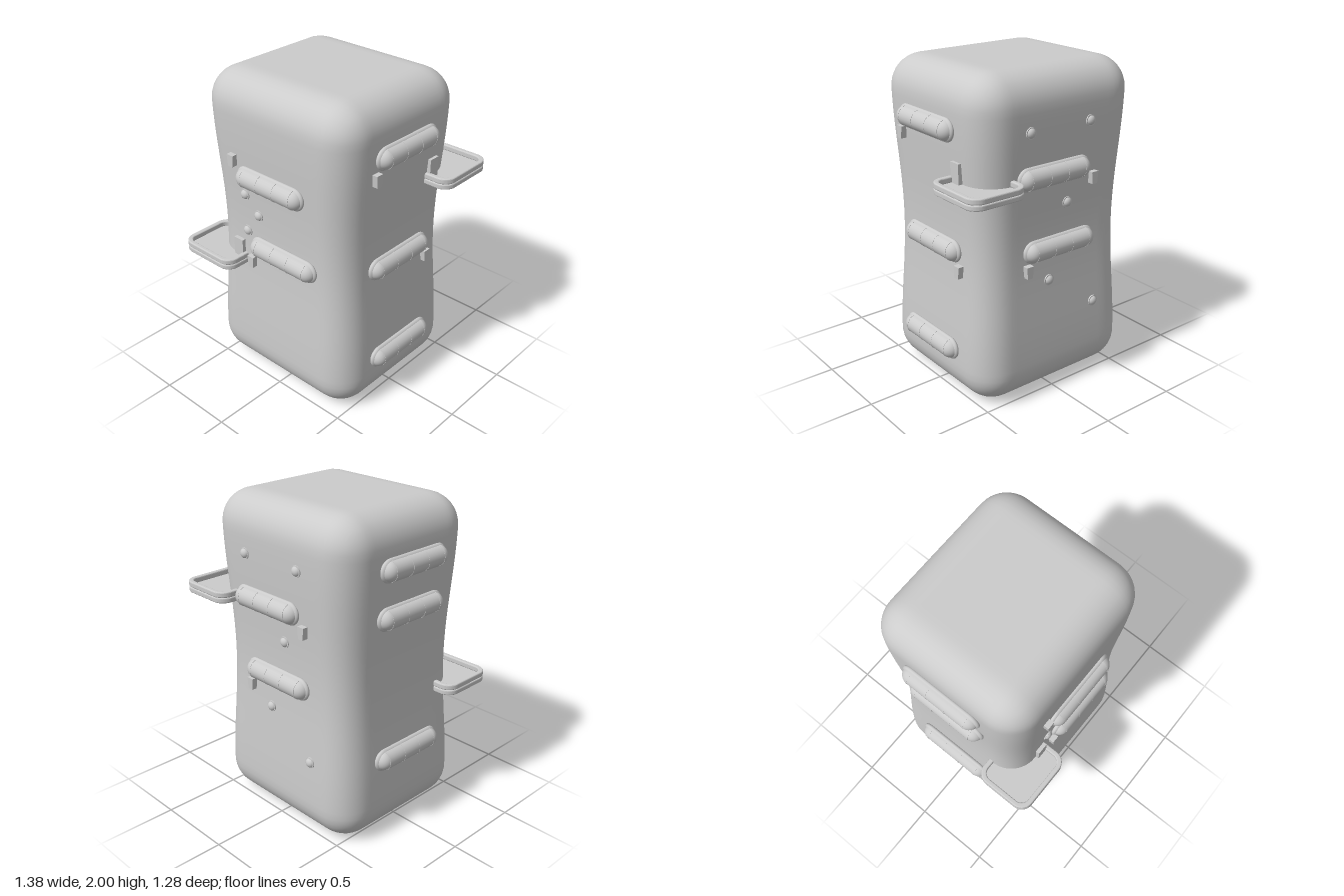
import * as THREE from 'three';
import { mergeVertices } from 'three/addons/utils/BufferGeometryUtils.js';

const material = new THREE.MeshStandardMaterial({ color: 0xcccccc });
const CENTER = new THREE.Vector3(-0.027, 1, -0.018);
const HALF = new THREE.Vector3(0.573, 1, 0.517);
const RADIUS = 0.2;

// Width factor at height y: full at the ends, pinched at the middle
function waist(y) {
  const t = Math.min(1, Math.abs(y - 1) / 0.85);
  return 1 - 0.065 * Math.cos(t * Math.PI / 2) ** 2;
}

function mesh(geometry, name, parent) {
  const m = new THREE.Mesh(geometry, material);
  m.name = name;
  parent.add(m);
  return m;
}

// Rounded block with a pinched waist
function bodyGeometry() {
  let g = new THREE.BoxGeometry(HALF.x * 2, 2, HALF.z * 2, 28, 44, 28);
  g.deleteAttribute('uv');
  g.deleteAttribute('normal');
  g = mergeVertices(g);
  const inner = HALF.clone().subScalar(RADIUS);
  const pos = g.attributes.position;
  const p = new THREE.Vector3(), core = new THREE.Vector3();
  for (let i = 0; i < pos.count; i++) {
    p.fromBufferAttribute(pos, i);
    core.copy(p).clamp(inner.clone().negate(), inner);
    p.sub(core).setLength(RADIUS).add(core);
    const w = waist(p.y + 1);
    pos.setXYZ(i, p.x * w + CENTER.x, p.y + 1, p.z * w + CENTER.z);
  }
  g.computeVertexNormals();
  return g;
}

// Puts a part on a face of the body; u runs along x (front, back) or z (sides)
function place(part, face, u, y, lift = 0) {
  const w = waist(y);
  const x = HALF.x * w + lift, z = HALF.z * w + lift;
  if (face === 'front') part.position.set(u, y, CENTER.z + z);
  if (face === 'back') part.position.set(u, y, CENTER.z - z);
  if (face === 'left') part.position.set(CENTER.x + x, y, u);
  if (face === 'right') part.position.set(CENTER.x - x, y, u);
  part.rotation.y = { front: 0, back: Math.PI, left: Math.PI / 2, right: -Math.PI / 2 }[face];
  return part;
}

// Capsule hold with a wider foot and thin bands
function makeHold() {
  const hold = new THREE.Group();
  hold.name = 'longHold';
  mesh(new THREE.CapsuleGeometry(0.061, 0.39, 8, 24).rotateZ(Math.PI / 2), 'holdBar', hold);
  mesh(new THREE.CapsuleGeometry(0.07, 0.39, 8, 24).rotateZ(Math.PI / 2).scale(1, 1, 0.4), 'holdFoot', hold);
  for (const x of [-0.195, -0.065, 0.065, 0.195]) {
    mesh(new THREE.CylinderGeometry(0.0625, 0.0625, 0.01, 24).rotateZ(Math.PI / 2), 'holdBand', hold).position.x = x;
  }
  return hold;
}

// Small round knob on a disc
function makeKnob() {
  const knob = new THREE.Group();
  knob.name = 'knob';
  mesh(new THREE.SphereGeometry(0.03, 16, 12).scale(1, 1, 0.8), 'knobDome', knob);
  mesh(new THREE.CylinderGeometry(0.035, 0.035, 0.014, 16).rotateX(Math.PI / 2), 'knobDisc', knob);
  return knob;
}

// Tapered clip, wider at the top
function makeClip() {
  const s = new THREE.Shape();
  s.moveTo(-0.018, -0.037).lineTo(0.018, -0.037).lineTo(0.025, 0.037).lineTo(-0.025, 0.037).closePath();
  const clip = new THREE.Group();
  clip.name = 'clip';
  mesh(new THREE.ExtrudeGeometry(s, { depth: 0.04, bevelEnabled: false }), 'clipBlock', clip).position.z = -0.005;
  return clip;
}

function roundedRect(target, w, d, r) {
  const x = w / 2, y = d / 2, q = Math.PI / 2;
  target.absarc(x - r, y - r, r, 0, q);
  target.absarc(-x + r, y - r, r, q, 2 * q);
  target.absarc(-x + r, -y + r, r, 2 * q, 3 * q);
  target.absarc(x - r, -y + r, r, 3 * q, 4 * q);
  target.closePath();
  return target;
}

// Shallow tray: floor and two stacked rim bands
function makeTray(w, d) {
  const tray = new THREE.Group();
  tray.name = 'tray';
  const b = 0.008;
  const slab = (hole, height) => {
    const s = roundedRect(new THREE.Shape(), w - 2 * b, d - 2 * b, 0.07);
    if (hole) s.holes.push(roundedRect(new THREE.Path(), w - 0.045, d - 0.045, 0.06));
    return new THREE.ExtrudeGeometry(s, {
      depth: height - 2 * b, bevelSize: b, bevelThickness: b, bevelSegments: 3, curveSegments: 8,
    }).rotateX(-Math.PI / 2).translate(0, b, 0);
  };
  mesh(slab(false, 0.034), 'trayFloor', tray);
  mesh(slab(true, 0.036), 'trayRim', tray).position.y = 0.034;
  return tray;
}

export function createModel() {
  const model = new THREE.Group();
  model.name = 'climbingBlock';
  mesh(bodyGeometry(), 'body', model);

  const holds = [
    ['front', -0.03, 1.405], ['front', 0.047, 0.95],
    ['back', 0.04, 1.405], ['back', -0.02, 0.95],
    ['left', -0.012, 1.675], ['left', -0.012, 0.95], ['left', -0.012, 0.325],
    ['right', -0.012, 1.69], ['right', -0.012, 1.405], ['right', -0.012, 0.515],
  ];
  for (const [face, u, y] of holds) model.add(place(makeHold(), face, u, y, 0.01));

  const knobs = [
    ['front', -0.26, 1.275], ['front', -0.155, 1.165], ['front', -0.26, 1.025],
    ['back', 0.22, 1.67], ['back', -0.22, 1.67], ['back', -0.08, 1.2],
    ['back', 0.05, 0.74], ['back', -0.3, 0.5],
  ];
  for (const [face, u, y] of knobs) model.add(place(makeKnob(), face, u, y));

  const clips = [
    ['front', -0.325, 1.49], ['front', -0.215, 0.83], ['back', -0.26, 1.32],
    ['back', 0.216, 0.84], ['left', 0.245, 1.565], ['left', -0.27, 0.84],
  ];
  for (const [face, u, y] of clips) model.add(place(makeClip(), face, u, y));

  // Corner trays, each with a bracket against the wall
  const frontTray = makeTray(0.425, 0.375);
  frontTray.position.set(-0.482, 0.79, 0.447);
  const backTray = makeTray(0.375, 0.42);
  backTray.position.set(0.503, 1.35, -0.435);
  model.add(frontTray, backTray);
  for (const [face, u, y] of [['front', -0.33, 0.885], ['left', -0.28, 1.445]]) {
    const bracket = mesh(new THREE.BoxGeometry(0.075, 0.12, 0.03), 'trayBracket', model);
    place(bracket, face, u, y, 0.008);
  }
  return model;
}
